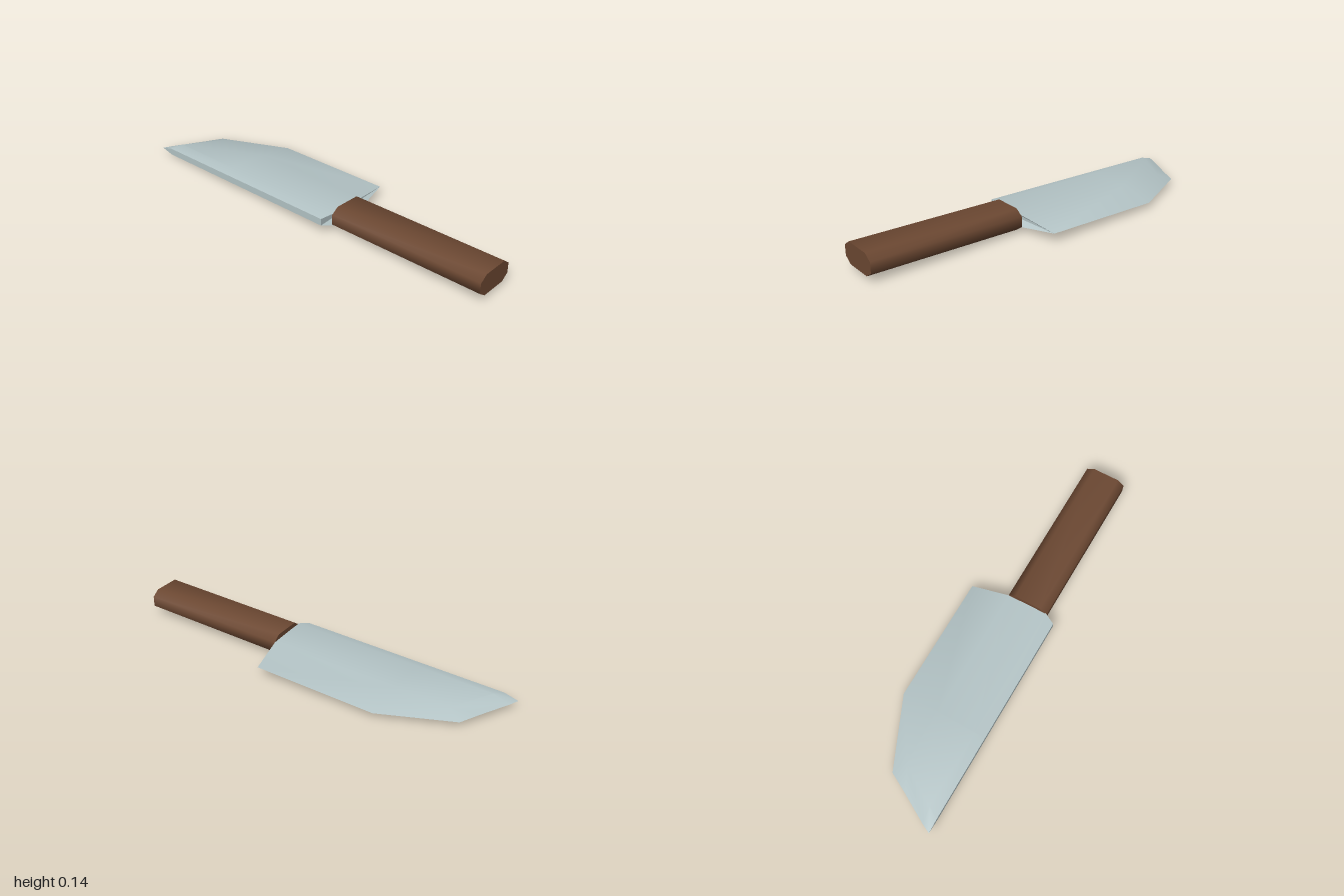
import * as THREE from 'three';
import { toCreasedNormals } from 'three/addons/utils/BufferGeometryUtils.js';

// The whole knife rests at a slight pitch along x and roll along z.
const restHeight = (x, z) => 0.058 + 0.027 * (x - 0.18) + 0.04 * z;

// Skin closed loops of [x, y, z] points, listed from +x to -x, and cap both ends.
function loft(loops, crease) {
  const n = loops[0].length;
  const positions = [];
  const index = [];
  for (const loop of loops) {
    for (const [x, y, z] of loop) positions.push(x, y + restHeight(x, z), z);
  }
  const point = i => new THREE.Vector3().fromArray(positions, i * 3);
  const addTriangle = (a, b, c) => {
    const area = point(b).sub(point(a)).cross(point(c).sub(point(a))).length();
    if (area > 1e-7) index.push(a, b, c);
  };
  for (let i = 0; i < loops.length - 1; i++) {
    for (let j = 0; j < n; j++) {
      const a = i * n + j;
      const b = i * n + (j + 1) % n;
      addTriangle(a, a + n, b + n);
      addTriangle(a, b + n, b);
    }
  }
  const last = (loops.length - 1) * n;
  const closedTip = loops[loops.length - 1].every(p => p[1] === 0);
  for (let j = 1; j < n - 1; j++) {
    addTriangle(0, j, j + 1);
    if (!closedTip) addTriangle(last, last + j + 1, last + j);
  }
  const geometry = new THREE.BufferGeometry();
  geometry.setAttribute('position', new THREE.Float32BufferAttribute(positions, 3));
  geometry.setIndex(index);
  return toCreasedNormals(geometry, crease);
}

// Blade section: cutting edge, widest part, shoulder and flat spine, mirrored in y.
// Each point is [x, z]; the last station closes to a sharp line.
function bladeLoop([edge, middle, shoulder, spine], thickness) {
  const up = [[middle, 0.03], [shoulder, 0.033], [spine, 0.018]]
    .map(([[x, z], h]) => [x, h * thickness, z]);
  const down = up.map(([x, y, z]) => [x, y === 0 ? 0 : -y, z]).reverse();
  return [[edge[0], 0, edge[1]], ...up, ...down];
}

export function createModel() {
  const group = new THREE.Group();
  group.name = 'knife';
  const steel = new THREE.MeshStandardMaterial({ color: 0xb4c4c6 });
  steel.name = 'steel';
  const wood = new THREE.MeshStandardMaterial({ color: 0x6c4832 });
  wood.name = 'brown wood';

  const addPart = (name, geometry, material) => {
    const mesh = new THREE.Mesh(geometry, material);
    mesh.name = name;
    group.add(mesh);
  };

  // Blade, from heel to tip
  const blade = [
    bladeLoop([[0.145, -0.23], [0.18, -0.04], [0.185, 0.17], [0.16, 0.225]], 1),
    bladeLoop([[-0.5, -0.23], [-0.5, -0.04], [-0.5, 0.17], [-0.5, 0.225]], 1),
    bladeLoop([[-0.85, -0.07], [-0.78, -0.03], [-0.9, 0.17], [-0.93, 0.225]], 1),
    bladeLoop([[-0.85, -0.07], [-0.9, 0.03], [-0.98, 0.18], [-1, 0.225]], 0),
  ];
  addPart('blade', loft(blade, 0.6), steel);

  // Handle: a long bar with chamfered corners
  const section = [
    [-0.106, -0.027], [-0.106, 0.027], [-0.068, 0.055], [0.068, 0.055],
    [0.106, 0.027], [0.106, -0.027], [0.068, -0.055], [-0.068, -0.055],
  ];
  const handle = [1, 0.183].map(x => section.map(([z, y]) => [x, y, z + 0.066]));
  addPart('handle', loft(handle, 1.0), wood);

  return group;
}
